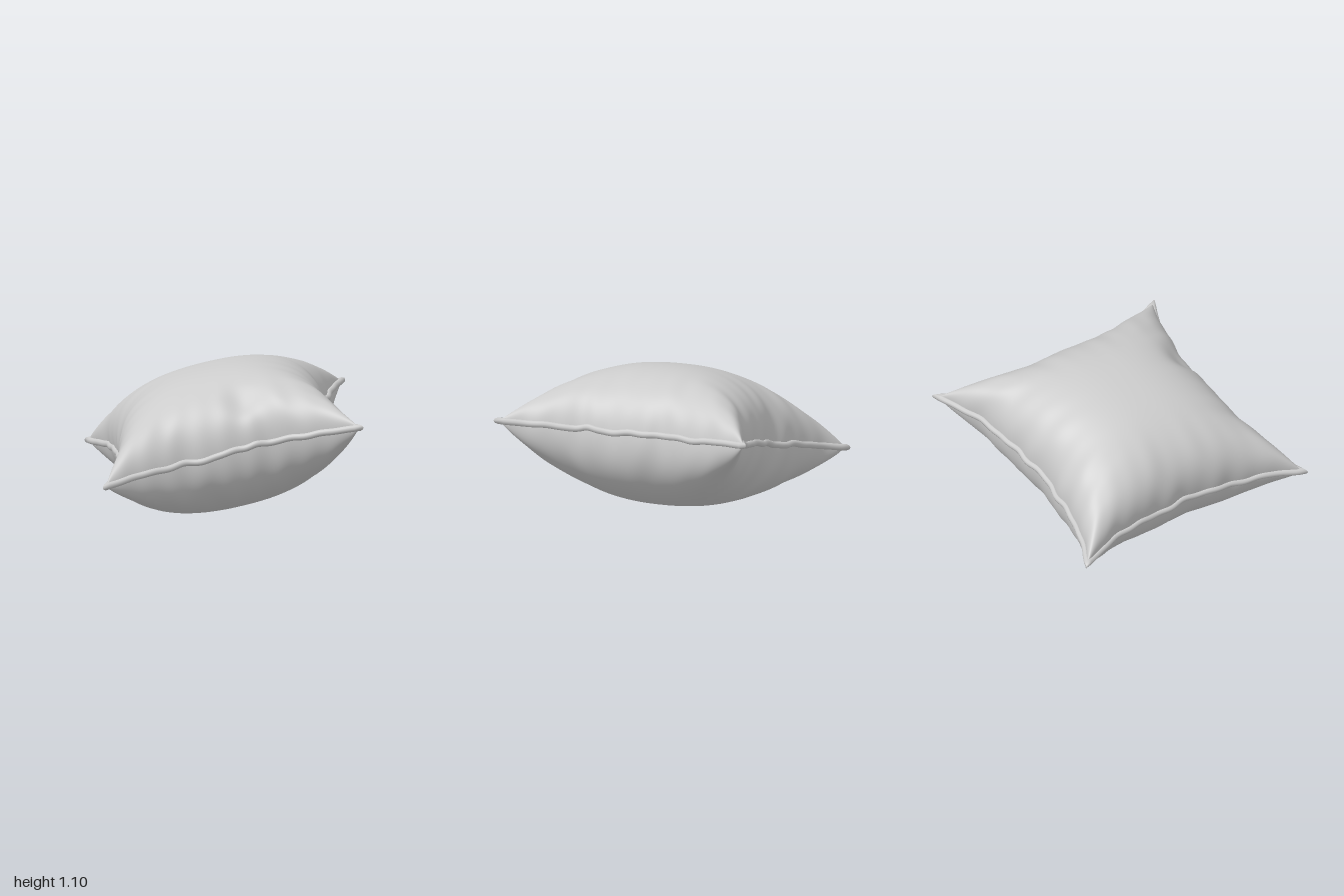
import * as THREE from 'three';

const HALF_X = 0.94, HALF_Z = 0.963; // seam corners
const PUFF = 0.517;                  // half thickness
const TILT = 0.222;
const PIPE_R = 0.025;

const bow = t => 1 - Math.pow(Math.abs(t), 2.4);
const swell = t => Math.max(0, 1 - Math.pow(Math.abs(t), 2.4));
const bump = (s, t, s0, t0, ws, wt) => Math.exp(-(((s - s0) / ws) ** 2) - ((t - t0) / wt) ** 2);

// Irregular ripple along an edge, fading out at the corners
function ripple(t, seed) {
  const fade = Math.pow(1 - t * t, 0.7);
  return fade * (Math.sin(t * 9 + seed) + 0.7 * Math.sin(t * 17 + seed * 2.3) + 0.5 * Math.sin(t * 29 + seed * 4.1));
}

// Point on the cushion: s, t run from -1 to 1, side is +1 top, -1 bottom, 0 seam
function cushionPoint(s, t, side) {
  const edgeS = Math.pow(Math.abs(s), 8), edgeT = Math.pow(Math.abs(t), 8);
  const seedS = s > 0 ? 1.3 : 4.2, seedT = t > 0 ? 2.1 : 5.6;
  // sides pulled in between the pointed corners, gathered by ripples
  const x = s * HALF_X * (1 - 0.187 * bow(t) + 0.008 * edgeS * ripple(t, seedS));
  const z = t * HALF_Z * (1 - 0.226 * bow(s) + 0.009 * edgeT * ripple(s, seedT));
  // seam waviness
  let y = 0.006 * (edgeS * ripple(t, seedS + 2) + edgeT * ripple(s, seedT + 1));
  y += edgeT * 0.025 * (bump(s, t, 0.2, 1, 0.07, 1) - bump(s, t, -0.22, 1, 0.12, 1));
  y += edgeS * 0.015 * (bump(s, t, 1, 0.35, 1, 0.06) - bump(s, t, 1, 0.45, 1, 0.08));
  if (side !== 0) {
    const fs = swell(s), ft = swell(t);
    let h = PUFF * Math.pow(fs * ft, 0.42);
    // soft folds running in from the seam
    const foldS = Math.pow(Math.abs(s), 5) * Math.sqrt(fs), foldT = Math.pow(Math.abs(t), 5) * Math.sqrt(ft);
    h += 0.025 * (foldS * ripple(t, seedS + side) + foldT * ripple(s, seedT + side));
    // deeper pinch at the front of the upper panel
    if (side > 0) h -= 0.08 * bump(s, t, 0.2, 0.84, 0.15, 0.14) * Math.sqrt(ft);
    y += side * Math.max(0, h);
  }
  return new THREE.Vector3(x, y, z);
}

// One fabric panel: a grid, denser towards the seam, inflated to one side
function makePanel(side, material) {
  const geo = new THREE.PlaneGeometry(2, 2, 110, 110);
  geo.rotateX(-side * Math.PI / 2);
  const pos = geo.attributes.position;
  for (let i = 0; i < pos.count; i++) {
    const s = Math.sin(pos.getX(i) * Math.PI / 2), t = Math.sin(pos.getZ(i) * Math.PI / 2);
    const p = cushionPoint(s, t, side);
    pos.setXYZ(i, p.x, p.y, p.z);
  }
  geo.computeVertexNormals();
  return new THREE.Mesh(geo, material);
}

// Piping: a round section swept round the seam, mitred at the corners
function makePiping(material) {
  const perSide = 90, ring = 10, path = [];
  const corners = [[-1, 1], [1, 1], [1, -1], [-1, -1]];
  corners.forEach(([s0, t0], k) => {
    const [s1, t1] = corners[(k + 1) % 4];
    for (let i = 0; i < perSide; i++) {
      const f = i / perSide;
      path.push(cushionPoint(s0 + (s1 - s0) * f, t0 + (t1 - t0) * f, 0));
    }
  });
  const n = path.length, verts = [], index = [];
  const outward = (a, b) => new THREE.Vector3(-(b.z - a.z), 0, b.x - a.x).normalize();
  for (let i = 0; i < n; i++) {
    const p = path[i];
    const n1 = outward(path[(i + n - 1) % n], p), n2 = outward(p, path[(i + 1) % n]);
    const m = n1.clone().add(n2).divideScalar(1 + n1.dot(n2));
    if (i % perSide === 0) m.multiplyScalar(0.65); // shortened corner tips
    for (let j = 0; j < ring; j++) {
      const a = j / ring * Math.PI * 2, c = Math.cos(a) * PIPE_R;
      verts.push(p.x + m.x * c, p.y + Math.sin(a) * PIPE_R, p.z + m.z * c);
      const i2 = (i + 1) % n, j2 = (j + 1) % ring;
      const A = i * ring + j, B = i2 * ring + j, C = i2 * ring + j2, D = i * ring + j2;
      index.push(A, B, C, A, C, D);
    }
  }
  const geo = new THREE.BufferGeometry();
  geo.setAttribute('position', new THREE.Float32BufferAttribute(verts, 3));
  geo.setIndex(index);
  geo.computeVertexNormals();
  return new THREE.Mesh(geo, material);
}

export function createModel() {
  const material = new THREE.MeshStandardMaterial({ color: 0xcccccc, side: THREE.DoubleSide });
  const cushion = new THREE.Group();
  cushion.name = 'cushion';

  const upper = makePanel(1, material);
  upper.name = 'upperPanel';
  const lower = makePanel(-1, material);
  lower.name = 'lowerPanel';
  const piping = makePiping(material);
  piping.name = 'seamPiping';
  cushion.add(upper, lower, piping);

  // Tilt, then stand on the ground, centred
  cushion.rotation.z = TILT;
  const model = new THREE.Group();
  model.name = 'pillow';
  model.add(cushion);
  const box = new THREE.Box3().setFromObject(model, true);
  const centre = box.getCenter(new THREE.Vector3());
  cushion.position.set(-centre.x, -box.min.y, -centre.z);
  return model;
}
